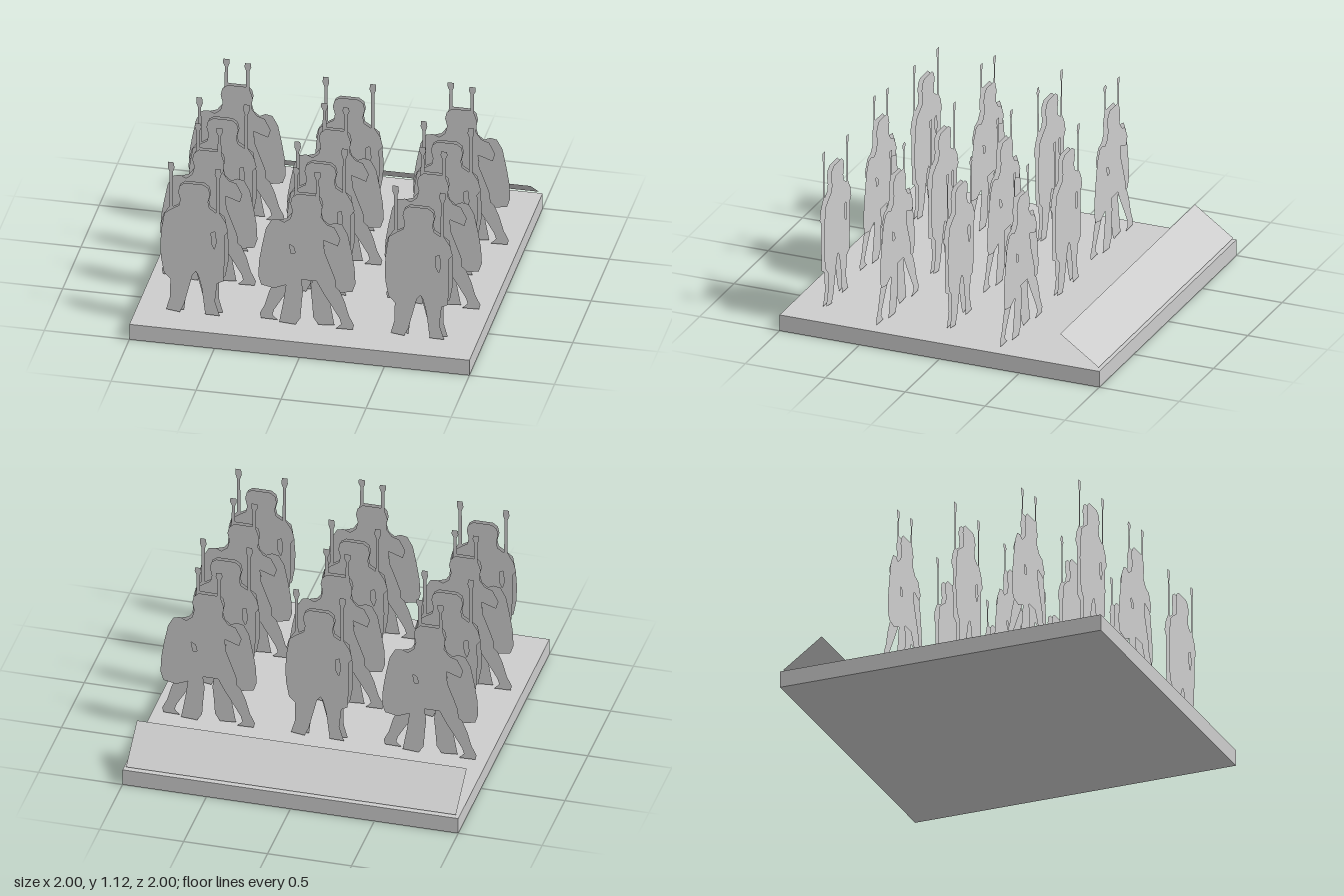
import * as THREE from 'three';

// Outline points are x, y pairs; the second list is the slit between arm and body.
function figureGeometry(outline, slit) {
  const points = (list) => list.map(([x, y]) => new THREE.Vector2(x, y));
  const shape = new THREE.Shape(points(outline));
  shape.holes.push(new THREE.Path(points(slit)));
  return new THREE.ShapeGeometry(shape);
}

// Upright figure: shield across the body, spear beside the shoulder
const standing = figureGeometry([
  [-0.055, 0.962], [-0.085, 0.94], [-0.094, 0.9], [-0.082, 0.85], [-0.09, 0.81], [-0.13, 0.785], [-0.175, 0.75],
  [-0.192, 0.65], [-0.198, 0.56], [-0.196, 0.46], [-0.178, 0.36], [-0.14, 0.32],
  [-0.142, 0.2], [-0.165, 0.118], [-0.085, 0.107], [-0.06, 0.16], [-0.03, 0.28],
  [-0.01, 0.36], [0.01, 0.385], [0.025, 0.36], [0.045, 0.28], [0.065, 0.11], [0.15, 0.108], [0.122, 0.2],
  [0.135, 0.32], [0.172, 0.34], [0.18, 0.5], [0.178, 0.64], [0.2, 0.67],
  [0.185, 0.73], [0.15, 0.785],
  [0.15, 1.01], [0.16, 1.04], [0.158, 1.075], [0.126, 1.075], [0.121, 1.04], [0.131, 1.01], [0.129, 0.785],
  [0.09, 0.81], [0.082, 0.85], [0.094, 0.9], [0.085, 0.94], [0.055, 0.962],
], [[0.1, 0.65], [0.122, 0.66], [0.13, 0.59], [0.118, 0.545], [0.102, 0.58]]);

// Striding figure: shield held out to the side, spear close to the head
const striding = figureGeometry([
  [-0.055, 0.968], [-0.085, 0.94], [-0.094, 0.9], [-0.082, 0.85], [-0.095, 0.8], [-0.13, 0.772], [-0.165, 0.788],
  [-0.205, 0.78], [-0.238, 0.72], [-0.262, 0.6], [-0.278, 0.5], [-0.283, 0.4], [-0.265, 0.345], [-0.19, 0.33],
  [-0.12, 0.36], [-0.135, 0.25], [-0.16, 0.112], [-0.065, 0.105], [-0.035, 0.15], [-0.028, 0.25],
  [-0.02, 0.33], [-0.03, 0.405], [0.06, 0.405], [0.1, 0.33], [0.15, 0.25], [0.195, 0.175], [0.205, 0.14], [0.175, 0.108],
  [0.272, 0.11], [0.28, 0.14], [0.25, 0.2], [0.225, 0.29], [0.195, 0.36],
  [0.172, 0.38], [0.17, 0.43], [0.145, 0.5], [0.107, 0.6], [0.1, 0.68],
  [0.185, 0.65], [0.2, 0.7], [0.165, 0.77], [0.12, 0.785], [0.087, 0.83], [0.094, 0.9],
  [0.077, 0.95], [0.075, 1.075], [0.086, 1.1], [0.084, 1.125], [0.049, 1.125], [0.046, 1.1], [0.056, 1.075],
  [0.055, 0.968],
], [[-0.1, 0.63], [-0.075, 0.615], [-0.065, 0.575], [-0.09, 0.57]]);

export function createModel() {
  const group = new THREE.Group();
  const gray = new THREE.MeshStandardMaterial({ color: 0xcccccc, side: THREE.DoubleSide });
  gray.name = 'plain gray';

  // Base slab
  const base = new THREE.Mesh(new THREE.BoxGeometry(2, 0.1, 2), gray);
  base.name = 'base';
  base.position.y = 0.05;
  group.add(base);

  // Sloping label plate along the back edge, low at the rear
  const rise = 0.17, depth = 0.24;
  const plate = new THREE.Mesh(new THREE.PlaneGeometry(1.965, Math.hypot(rise, depth)), gray);
  plate.name = 'backPlate';
  plate.rotation.set(-Math.PI / 2 + Math.atan2(rise, depth), Math.PI, 0, 'YXZ');
  plate.position.set(0, 0.2, -0.868);
  group.add(plate);

  // Three columns and four rows, alternating poses; each has a front card and a turned card behind it
  for (let row = 0; row < 4; row++) {
    for (let col = 0; col < 3; col++) {
      const upright = (row + col) % 2 === 1;
      const figure = new THREE.Group();
      figure.name = upright ? 'standingFigure' : 'stridingFigure';
      for (const back of [false, true]) {
        const card = new THREE.Mesh(upright ? standing : striding, gray);
        card.name = back ? 'backCard' : 'frontCard';
        card.rotation.y = back ? Math.PI : 0;
        card.position.z = back ? -0.013 : 0.013;
        figure.add(card);
      }
      figure.position.set((col - 1) * 0.66, 0, -0.365 + row * 0.387);
      group.add(figure);
    }
  }
  return group;
}
